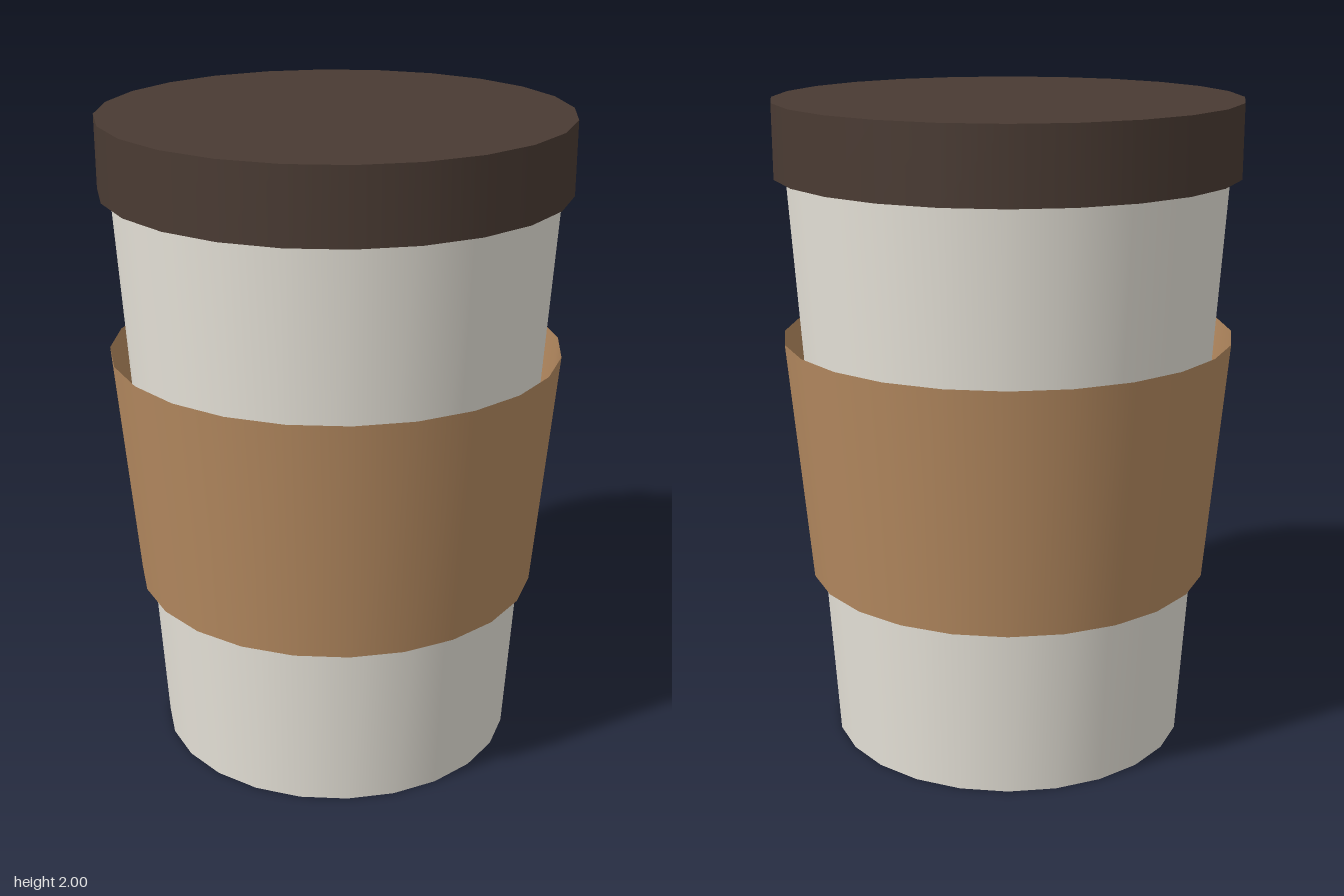
import * as THREE from 'three';

const SIDES = 24;

// Tapered round part standing between two heights
function roundPart(name, color, rBottom, rTop, y0, y1, open) {
  const geometry = new THREE.CylinderGeometry(rTop, rBottom, y1 - y0, SIDES, 1, open);
  geometry.translate(0, (y0 + y1) / 2, 0);
  const material = new THREE.MeshStandardMaterial({
    color,
    side: open ? THREE.DoubleSide : THREE.FrontSide,
  });
  const mesh = new THREE.Mesh(geometry, material);
  mesh.name = name;
  return mesh;
}

export function createModel() {
  const cup = new THREE.Group();
  cup.name = 'takeawayCup';
  cup.add(
    // Thin tapered wall, open underneath
    roundPart('cupWall', 0xe8e4da, 0.557, 0.67, 0, 1.78, true),
    // Loose sleeve, flaring a little more than the cup
    roundPart('sleeve', 0xb58a60, 0.626, 0.692, 0.535, 1.285, true),
    // Solid flat lid
    roundPart('lid', 0x4a3b33, 0.705, 0.705, 1.78, 2, false),
  );
  return cup;
}
